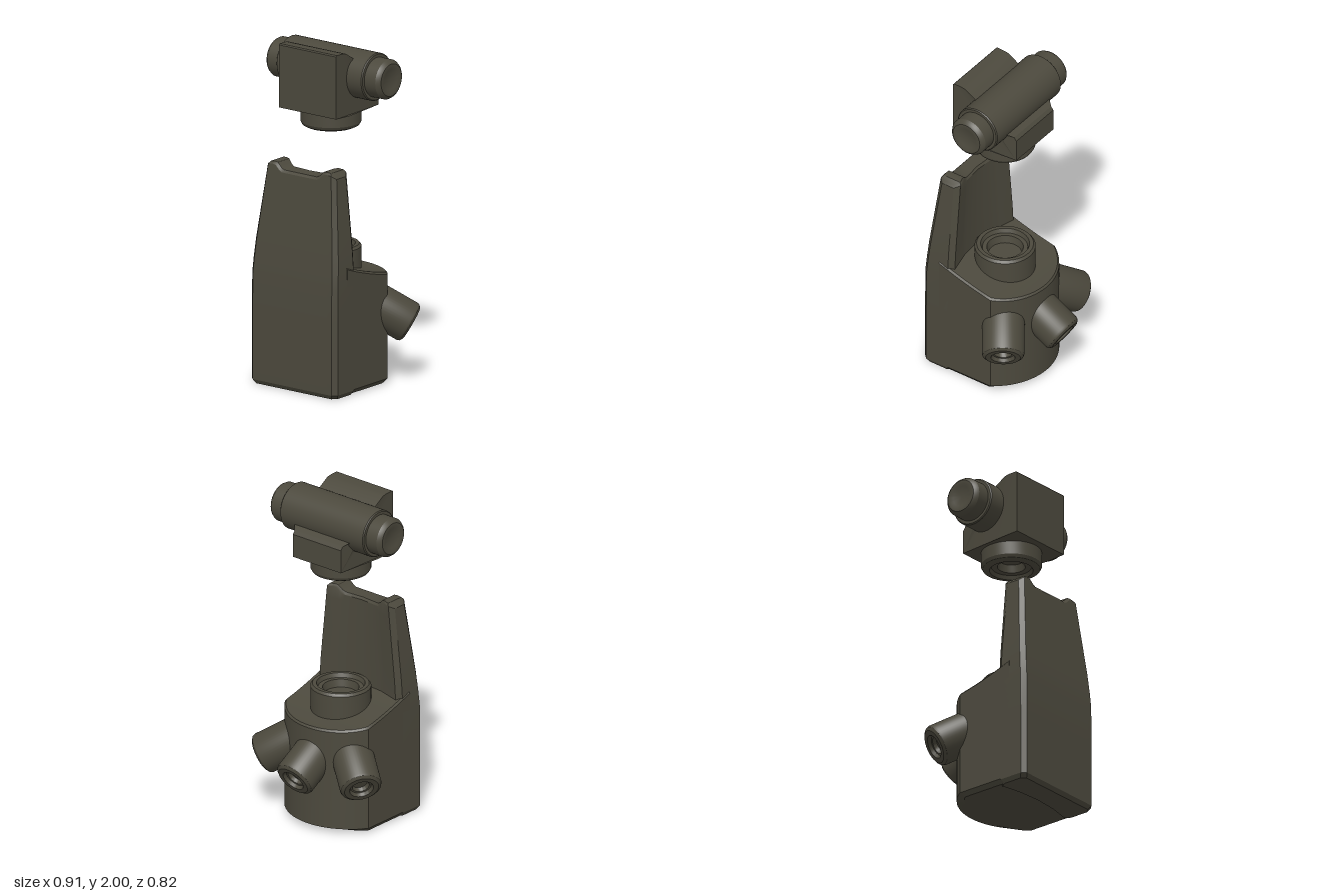
import * as THREE from 'three';
import { toCreasedNormals } from 'three/addons/utils/BufferGeometryUtils.js';

const V = (x, y) => new THREE.Vector2(x, y);

// Skin a stack of closed rings; point i of a ring faces point n-1-i, which closes both ends with strips
function loft(rings) {
  const n = rings[0].length, pos = rings.flat(2), idx = [];
  const quad = (a, b, c, d) => idx.push(a, b, c, a, c, d);
  for (let j = 0; j < rings.length - 1; j++)
    for (let i = 0; i < n; i++) {
      const k = (i + 1) % n;
      quad(j * n + i, j * n + k, (j + 1) * n + k, (j + 1) * n + i);
    }
  const top = (rings.length - 1) * n;
  for (let i = 0; i < n / 2 - 1; i++) {
    quad(top + i, top + i + 1, top + n - 2 - i, top + n - 1 - i);
    quad(n - 1 - i, n - 2 - i, i + 1, i);
  }
  const g = new THREE.BufferGeometry();
  g.setAttribute('position', new THREE.Float32BufferAttribute(pos, 3));
  g.setIndex(idx);
  return g;
}

// Linear lookup through [input, value] pairs
function lookup(table, t) {
  for (let i = 1; i < table.length; i++) {
    const [a, va] = table[i - 1], [b, vb] = table[i];
    if (t <= b) return va + (vb - va) * Math.max(0, (t - a) / (b - a));
  }
  return table[table.length - 1][1];
}

// Rounded-back housing with a sloping top
function housingGeometry() {
  const half = [0.3, 0.25, 0.2, 0.15, 0.1, 0.05, 0].map(z => [0.315, z]);
  for (let i = 0; i <= 12; i++) {
    const a = 0.997 + (0.03 - 0.997) * i / 12;
    half.push([0.375 * Math.sin(a), 0.14 - 0.375 * Math.cos(a)]);
  }
  const topY = z => 0.64 + 0.09 * Math.pow(Math.max(0, (z + 0.235) / 0.435), 1.6);
  const ring = (inX, inZ, y) => {
    const right = half.map(([x, z]) => {
      const zz = z < 0 ? z * (1 - inZ / 0.235) : z;
      return [x * (1 - inX / 0.315), y(z), zz];
    });
    return [...right, ...right.map(([x, h, z]) => [-x, h, z]).reverse()];
  };
  return loft([
    ring(0.02, 0.08, () => 0.004), ring(0, 0, () => 0.03),
    ring(0, 0, z => topY(z) - 0.012), ring(0.01, 0.01, topY),
  ]);
}

// Tall tapering plate with a shallow notch in its top edge
function plateGeometry() {
  const width = [[0, 0.315], [0.68, 0.315], [0.85, 0.302], [1.32, 0.249]];
  const front = [[0, 0.415], [0.62, 0.415], [0.8, 0.4], [1.32, 0.344]];
  const rear = [[0, 0.245], [0.5, 0.235], [0.92, 0.208], [1, 0.24]];
  const crest = [[0, 1.28], [0.5, 1.28], [0.58, 1.29], [0.7, 1.316], [0.8, 1.32], [0.94, 1.315], [1, 1.298]];
  const halfU = [0.25, 0.5, 0.58, 0.64, 0.7, 0.8, 0.92, 1];
  const us = [...halfU.map(u => -u).reverse(), 0, ...halfU];
  const ring = (y, inset, drop) => {
    const side = isFront => us.map(u => {
      const a = Math.abs(u);
      const h = y ?? lookup(crest, a) - drop;
      const w = lookup(width, h) - inset;
      const z = isFront
        ? lookup(front, h) - inset - (a === 1 ? 0.026 : 0)
        : lookup(rear, a) + inset;
      return [u * w, h, z];
    });
    return [...side(true), ...side(false).reverse()];
  };
  return loft([
    ring(0, 0.015, 0), ring(0.025, 0, 0), ring(0.4, 0, 0), ring(0.65, 0, 0), ring(0.74, 0, 0),
    ring(0.85, 0, 0), ring(1.05, 0, 0), ring(1.23, 0, 0), ring(null, 0, 0.014), ring(null, 0.01, 0),
  ]);
}

// Block behind the crossbar, cut from a side profile, with chamfered rear corners
function headGeometry() {
  const shape = new THREE.Shape([
    V(-0.275, 1.622), V(-0.15, 1.615), V(0.15, 1.615), V(0.15, 1.755), V(0.135, 1.775),
    V(0.1, 1.795), V(0, 1.83), V(-0.1, 1.93), V(-0.12, 1.953), V(-0.185, 1.993),
    V(-0.21, 1.998), V(-0.268, 2), V(-0.275, 1.993),
  ]);
  const g = new THREE.ExtrudeGeometry(shape, { depth: 0.42, bevelEnabled: false });
  g.translate(0, 0, -0.21).rotateY(Math.PI / 2);
  const p = g.attributes.position;
  for (let i = 0; i < p.count; i++)
    if (p.getZ(i) < -0.13) p.setX(i, p.getX(i) * 0.86);
  return g;
}

export function createModel() {
  const group = new THREE.Group();
  const olive = new THREE.MeshStandardMaterial({ color: 0x4c493d });
  olive.name = 'dark olive grey';

  const add = (name, geometry, crease = 0.5) => {
    const mesh = new THREE.Mesh(toCreasedNormals(geometry, crease), olive);
    mesh.name = name;
    group.add(mesh);
    return mesh;
  };
  const lathe = points => new THREE.LatheGeometry(points.map(p => V(...p)), 48);

  add('housing', housingGeometry());
  add('backPlate', plateGeometry());

  // Upright socket on the housing
  add('topSocket', lathe([
    [0.175, 0.6], [0.175, 0.795], [0.163, 0.81], [0.14, 0.81], [0.13, 0.785],
    [0.105, 0.785], [0.095, 0.74], [0, 0.74],
  ])).position.set(0, 0, 0.06);

  // Three nozzles around the back, tilted downwards
  const nozzle = lathe([
    [0.122, -0.3], [0.122, -0.025], [0.117, -0.012], [0.1, 0], [0.07, 0], [0.06, -0.02],
    [0.05, -0.022], [0.043, -0.045], [0, -0.045],
  ]);
  const tilt = Math.PI / 6;
  [
    ['rearNozzle', 0, [0, 0.335, -0.36]],
    ['leftNozzle', 0.96, [0.38, 0.338, -0.2]],
    ['rightNozzle', -0.96, [-0.38, 0.338, -0.2]],
  ].forEach(([name, turn, tip]) => {
    const mesh = add(name, nozzle);
    const dir = new THREE.Vector3(
      Math.sin(turn) * Math.cos(tilt), -Math.sin(tilt), -Math.cos(turn) * Math.cos(tilt));
    mesh.quaternion.setFromUnitVectors(new THREE.Vector3(0, 1, 0), dir);
    mesh.position.set(...tip);
  });

  // Floating head: block, crossbar with end caps, and plug underneath
  add('headBlock', headGeometry(), 0.4);

  const bar = add('crossbar', lathe([
    [0, -0.315], [0.134, -0.315], [0.14, -0.309], [0.14, 0.309], [0.134, 0.315], [0, 0.315],
  ]));
  bar.rotation.z = Math.PI / 2;
  bar.position.set(0, 1.84, 0.03);

  const cap = lathe([
    [0.117, 0.3], [0.117, 0.395], [0.108, 0.41], [0.095, 0.42], [0.075, 0.42], [0.06, 0.414], [0, 0.412],
  ]);
  for (const side of [1, -1]) {
    const mesh = add(side > 0 ? 'leftEndCap' : 'rightEndCap', cap);
    mesh.rotation.z = -side * Math.PI / 2;
    mesh.position.copy(bar.position);
  }

  const plug = add('headPlug', lathe([
    [0.175, -0.03], [0.175, 0.08], [0.165, 0.098], [0.145, 0.108], [0.125, 0.108], [0.115, 0.085],
    [0.08, 0.085], [0.07, 0.04], [0, 0.04],
  ]));
  plug.rotation.x = Math.PI;
  plug.position.set(0, 1.617, 0.06);

  return group;
}
